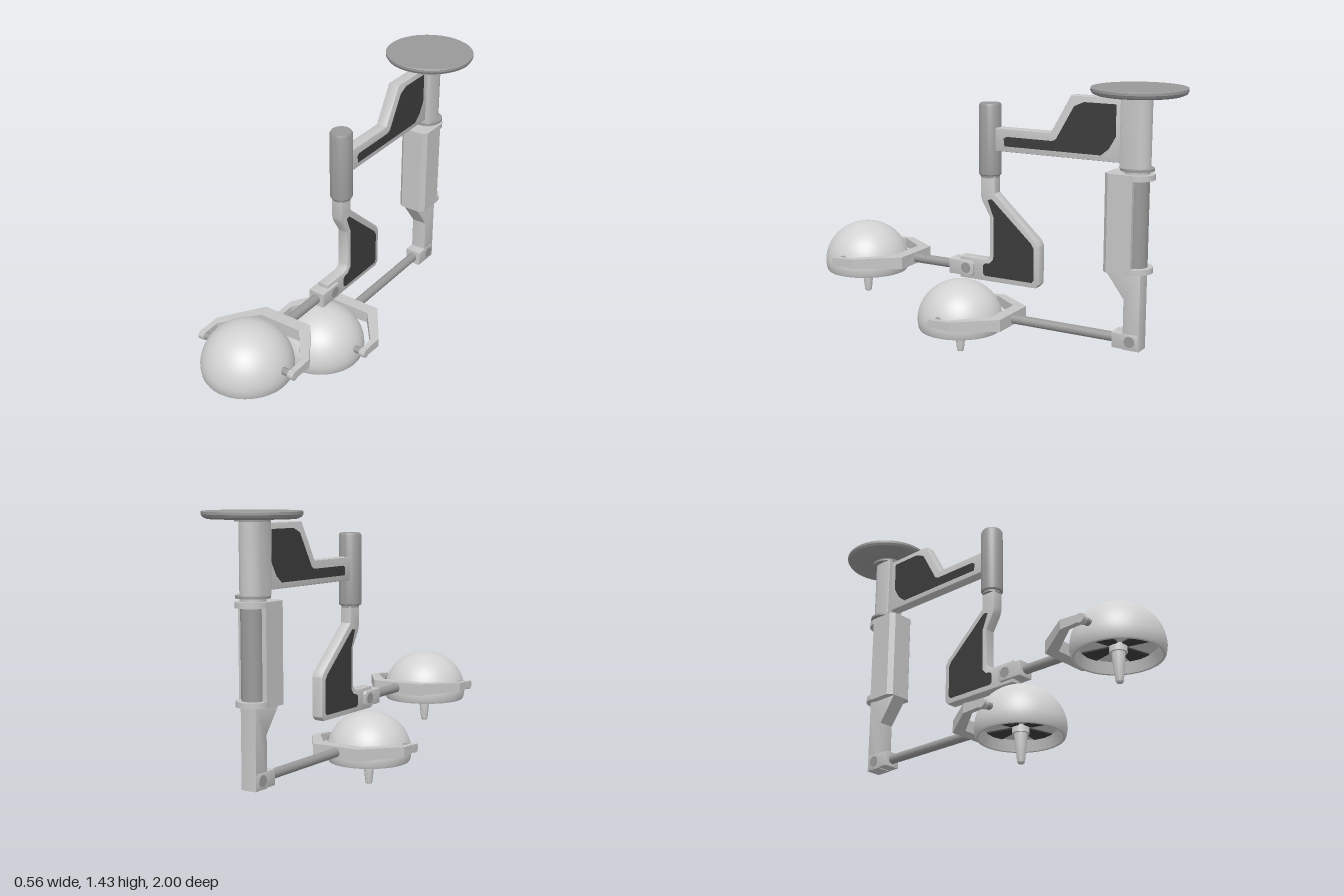
import * as THREE from 'three';
import { toCreasedNormals } from 'three/addons/utils/BufferGeometryUtils.js';

const mat = (name, color) => new THREE.MeshStandardMaterial({ name, color });

export function createModel() {
  const root = new THREE.Group();
  root.name = 'ceilingLampSystem';
  const shell = mat('lightShell', 0xd2d2d2);
  const arm = mat('armGrey', 0xc6c6c6);
  const metal = mat('midGrey', 0x999999);
  const dark = mat('darkPanel', 0x3c3c3c);

  const add = (name, geo, material, parent = root) => {
    const m = new THREE.Mesh(geo, material);
    m.name = name;
    parent.add(m);
    return m;
  };
  const toShape = pts => new THREE.Shape(pts.map(p => new THREE.Vector2(p[0], p[1])));

  // Side profile given as [z, y], extruded across x and centred at cx
  const sideSlab = (pts, width, bevel = 0, cx = 0) => {
    const g = new THREE.ExtrudeGeometry(toShape(pts), {
      depth: width - 2 * bevel, bevelEnabled: bevel > 0, bevelSize: bevel,
      bevelThickness: bevel, bevelOffset: -bevel, bevelSegments: 2,
    });
    g.translate(0, 0, -(width - 2 * bevel) / 2);
    g.rotateY(-Math.PI / 2);
    g.translate(cx, 0, 0);
    return toCreasedNormals(g, 0.6);
  };
  // Plan outline given as [x, z], extruded from y0 up to y1
  const planSlab = (pts, y0, y1) => {
    const g = new THREE.ExtrudeGeometry(toShape(pts), { depth: y1 - y0, bevelEnabled: false });
    g.rotateX(Math.PI / 2);
    g.translate(0, y1, 0);
    return g;
  };
  // Turned part from [radius, y] points, bottom to top
  const turned = (pts, z = 0, segments = 48) => {
    const g = new THREE.LatheGeometry(pts.map(p => new THREE.Vector2(p[0], p[1])), segments);
    return toCreasedNormals(g, 0.5).translate(0, 0, z);
  };
  const drum = (r, y0, y1, z) => turned([[0, y0], [r, y0], [r, y1], [0, y1]], z);
  const box = (w, y0, y1, z0, z1) =>
    new THREE.BoxGeometry(w, y1 - y0, z1 - z0).translate(0, (y0 + y1) / 2, (z0 + z1) / 2);
  const rodZ = (r, y, z0, z1) =>
    new THREE.CylinderGeometry(r, r, z1 - z0, 24).rotateX(Math.PI / 2).translate(0, y, (z0 + z1) / 2);
  const rodX = (r, x0, x1, y, z) =>
    new THREE.CylinderGeometry(r, r, x1 - x0, 24).rotateZ(Math.PI / 2).translate((x0 + x1) / 2, y, z);

  // Ceiling plate and main post
  const zp = -0.775;
  add('ceilingPlate', turned([[0, 1.4], [0.2, 1.4], [0.218, 1.408], [0.225, 1.42], [0.225, 1.432], [0.222, 1.435], [0, 1.435]], zp, 64), metal);
  add('plateCollar', drum(0.08, 1.388, 1.402, zp), metal);
  const postPlan = [[-0.05, -0.705], [0.05, -0.705], [0.055, -0.715]];
  for (let i = 0; i <= 12; i++) {
    const a = i / 12 * Math.PI;
    postPlan.push([0.055 * Math.cos(a), -0.785 - 0.055 * Math.sin(a)]);
  }
  postPlan.push([-0.055, -0.715]);
  add('upperPost', toCreasedNormals(planSlab(postPlan, 1.06, 1.39), 0.5), arm);
  add('postRing', drum(0.08, 1.05, 1.062, zp), metal);
  add('postNeck', drum(0.06, 1.025, 1.05, zp), arm);

  // Lower post housing with its rear bearing tube
  add('postHousing', planSlab([[-0.055, -0.637], [0.055, -0.637], [0.078, -0.66], [0.078, -0.785], [-0.078, -0.785], [-0.078, -0.66]], 0.56, 1.035), arm);
  add('bearingTube', drum(0.055, 0.57, 1.03, -0.78), metal);
  for (const y of [0.563, 1.008]) add('bearingFlange', drum(0.079, y, y + 0.027, -0.782), arm);
  add('lowerPost', sideSlab([[-0.64, 0.562], [-0.738, 0.43], [-0.738, 0.18], [-0.823, 0.18], [-0.823, 0.565]], 0.084, 0.004), arm);

  // Upper arm and its swivel cylinder
  add('upperArm', sideSlab([[-0.02, 1.08], [-0.02, 1.195], [-0.335, 1.195], [-0.44, 1.38], [-0.72, 1.38], [-0.72, 1.08]], 0.06, 0.006), arm);
  const upperInset = [[-0.085, 1.108], [-0.6, 1.108], [-0.64, 1.14], [-0.675, 1.2], [-0.675, 1.352], [-0.51, 1.352],
    [-0.46, 1.33], [-0.365, 1.165], [-0.345, 1.155], [-0.095, 1.155], [-0.08, 1.145]];
  add('swivelCylinder', turned([[0, 0.953], [0.052, 0.953], [0.056, 0.96], [0.056, 1.3], [0.05, 1.312], [0, 1.312]], 0.014), metal);
  add('swivelCollar', drum(0.046, 0.942, 0.956, 0.014), metal);

  // Lower arm
  add('lowerArm', sideSlab([[0.054, 0.95], [0.054, 0.85], [0.045, 0.82], [0, 0.745], [0, 0.55], [0.012, 0.53], [0.035, 0.523], [0.175, 0.523],
    [0.175, 0.41], [-0.26, 0.41], [-0.278, 0.43], [-0.278, 0.625], [-0.265, 0.65], [-0.027, 0.866], [-0.027, 0.95]], 0.06, 0.006), arm);
  const lowerInset = [[0.01, 0.83], [-0.012, 0.835], [-0.235, 0.635], [-0.25, 0.61], [-0.25, 0.45], [-0.24, 0.437], [0.025, 0.437],
    [0.037, 0.447], [0.037, 0.49], [0.028, 0.5], [0.0, 0.505], [-0.022, 0.53], [-0.025, 0.74]];

  // Dark inset panels on both sides of each arm
  for (const s of [1, -1]) {
    add('upperArmPanel', sideSlab(upperInset, 0.006, 0, s * 0.03), dark);
    add('lowerArmPanel', sideSlab(lowerInset, 0.006, 0, s * 0.03), dark);
  }

  // Hinge block, pivot pin and rod reaching forward to a lamp
  const hinge = (y, zPin, z0, z1, zEnd) => {
    add('hingeBlock', sideSlab([[z0 + 0.01, y - 0.04], [z1, y - 0.04], [z1, y + 0.038], [z0 + 0.01, y + 0.038], [z0, y + 0.025], [z0, y - 0.025]], 0.088, 0.004), arm);
    add('hingePin', rodX(0.027, -0.046, 0.046, y, zPin), metal);
    add('lampRod', rodZ(0.024, y, z1 - 0.01, zEnd), metal);
  };
  hinge(0.467, 0.133, 0.09, 0.232, 0.49);
  hinge(0.224, -0.775, -0.82, -0.682, -0.1);

  // Lamp head, origin at the rim centre
  const lamp = (name, y, z) => {
    const g = new THREE.Group();
    g.name = name;
    g.position.set(0, y, z);
    root.add(g);

    // Hollow dome: recessed floor, rim, then outer shell
    const pts = [[0, 0.055], [0.18, 0.055], [0.198, 0], [0.211, 0], [0.217, 0.012], [0.222, 0.045]];
    for (let i = 1; i <= 16; i++) {
      const a = i / 16 * Math.PI / 2;
      pts.push([0.222 * Math.cos(a), 0.045 + 0.213 * Math.sin(a)]);
    }
    add('dome', turned(pts, 0, 64), shell, g);

    // Dark light panels in the recess
    for (let i = 0; i < 4; i++) {
      const panel = planSlab([[-0.025, 0.04], [0.025, 0.04], [0.055, 0.165], [0, 0.176], [-0.055, 0.165]], 0.048, 0.056);
      add('lightPanel', panel.rotateY(i * Math.PI / 2), dark, g);
    }
    add('handleHub', drum(0.042, 0.02, 0.056, 0), shell, g);
    add('handle', turned([[0, -0.126], [0.014, -0.126], [0.018, -0.12], [0.03, -0.012], [0.032, 0.03], [0, 0.03]], 0, 32), shell, g);

    // Yoke, tapering in height towards the pivots
    const half = [[0.135, -0.315], [0.28, -0.11], [0.28, 0.015], [0.25, 0.015], [0.25, -0.08], [0.115, -0.25]];
    const outline = [...half, ...half.map(([x, zz]) => [-x, zz]).reverse()];
    const yoke = planSlab(outline, -0.031, 0.031);
    const p = yoke.attributes.position;
    for (let i = 0; i < p.count; i++) {
      const t = THREE.MathUtils.clamp((p.getZ(i) + 0.25) / 0.265, 0, 1);
      p.setY(i, p.getY(i) * (1 - 0.42 * t) + 0.097);
    }
    yoke.computeVertexNormals();
    add('yoke', yoke, arm, g);
    for (const s of [1, -1]) {
      add('pivotPin', rodX(0.018, Math.min(s * 0.2, s * 0.255), Math.max(s * 0.2, s * 0.255), 0.095, 0), metal, g);
      add('pivotCap', rodX(0.023, s * 0.265 - 0.016, s * 0.265 + 0.016, 0.095, 0), arm, g);
    }
  };
  lamp('frontLamp', 0.37, 0.778);
  lamp('rearLamp', 0.127, 0.195);
  return root;
}
